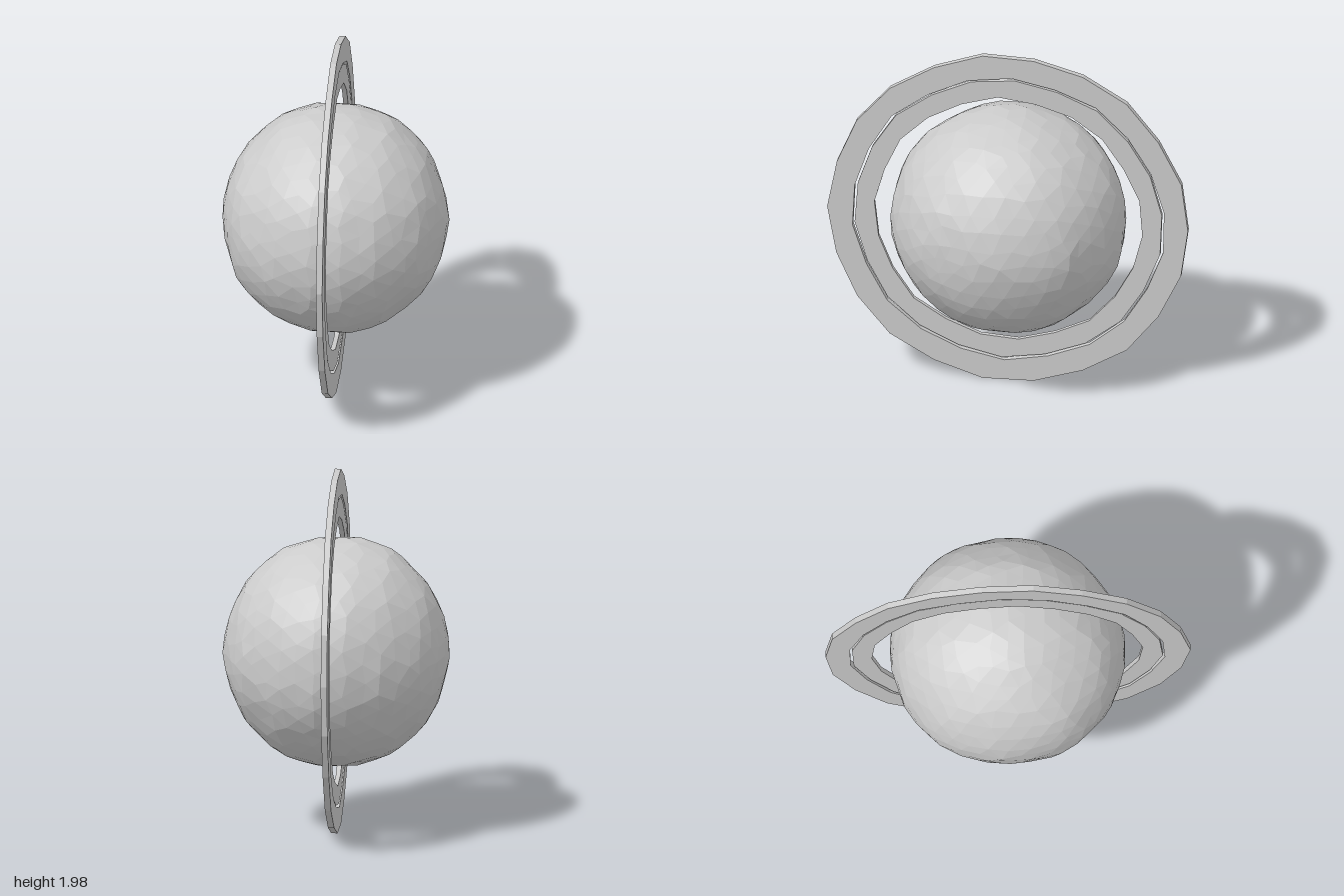
import * as THREE from 'three';

const material = new THREE.MeshStandardMaterial({
  color: 0xcccccc, flatShading: true, side: THREE.DoubleSide,
});

// Smooth repeatable wobble in roughly -1..1
const wobble = (a, b, c) =>
  (Math.sin(a * 7.3 + b * 3.1 + 1.3) + Math.sin(b * 8.7 - c * 4.2 + 0.4) + Math.sin(c * 9.1 + a * 5.3 + 2.2)) / 3;

// Faceted, slightly lumpy ball with faint bands parallel to the rings
function makePlanet() {
  const geometry = new THREE.IcosahedronGeometry(1, 6);
  const pos = geometry.attributes.position;
  const v = new THREE.Vector3();
  for (let i = 0; i < pos.count; i++) {
    v.fromBufferAttribute(pos, i).normalize();
    const { x, y, z } = v;
    // uneven facet sizes
    v.x += 0.035 * wobble(y * 3, z * 3, x * 3);
    v.y += 0.035 * wobble(z * 3 + 2, x * 3, y * 3);
    v.z += 0.035 * wobble(x * 3, y * 3 + 5, z * 3);
    v.normalize();
    const band = 0.005 * Math.cos(x * 20 + Math.PI);
    const r = 1 + 0.012 * wobble(x, y, z) + 0.006 * wobble(z * 3, x * 3, y * 3) + band;
    pos.setXYZ(i, v.x * r * 0.618, v.y * r * 0.632, v.z * r * 0.645);
  }
  geometry.computeVertexNormals();
  const planet = new THREE.Mesh(geometry, material);
  planet.name = 'planet';
  return planet;
}

// Closed many-sided outline with uneven corners
function outline(target, radius, sides, uneven, phase) {
  for (let i = 0; i < sides; i++) {
    const a = (i / sides) * Math.PI * 2 + phase;
    const r = radius + uneven * Math.sin(i * 2.4 + phase * 9);
    const p = [r * Math.cos(a), r * Math.sin(a)];
    if (i) target.lineTo(...p); else target.moveTo(...p);
  }
  target.closePath();
  return target;
}

// Thin flat ring standing in the plane x = 0
function makeRing(name, inner, outer, depth, phase) {
  const shape = outline(new THREE.Shape(), outer, 22, 0.007, phase);
  shape.holes.push(outline(new THREE.Path(), inner, 22, 0.008, phase + 0.12));
  const geometry = new THREE.ExtrudeGeometry(shape, { depth, bevelEnabled: false });
  geometry.translate(0, 0, -depth / 2);
  geometry.rotateY(Math.PI / 2);
  const ring = new THREE.Mesh(geometry, material);
  ring.name = name;
  ring.position.x = 0.003;
  return ring;
}

export function createModel() {
  const model = new THREE.Group();
  model.name = 'ringedPlanet';
  const body = new THREE.Group();
  body.name = 'body';
  body.position.y = 1;
  body.add(
    makePlanet(),
    makeRing('innerRing', 0.735, 0.847, 0.026, 0.1),
    makeRing('outerRing', 0.86, 0.993, 0.034, 0),
  );
  model.add(body);
  return model;
}
